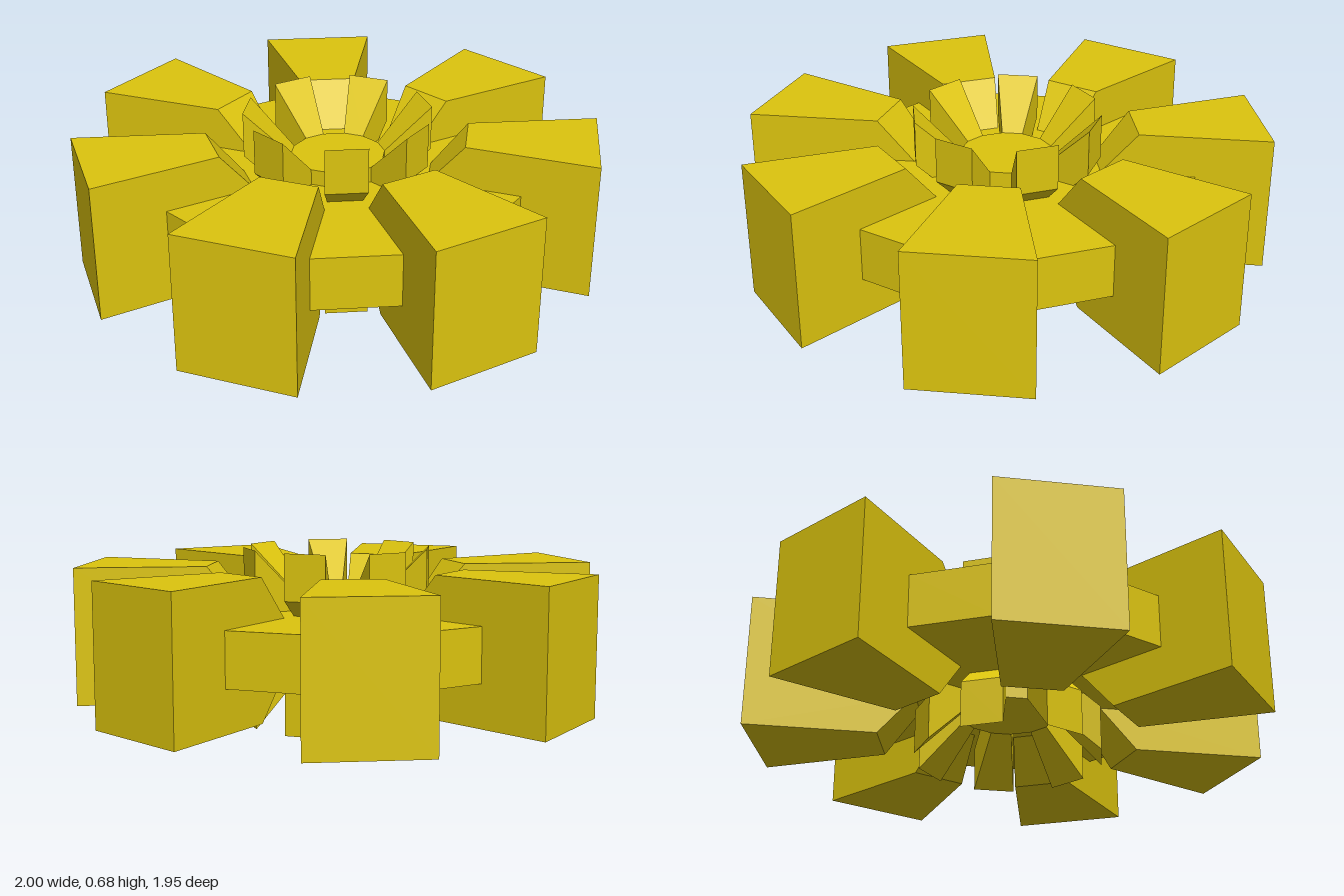
import * as THREE from 'three';

const MID = 0.3375;          // height of the mirror plane
const HALF = Math.PI / 14;   // half the angle of one of the 14 sectors

// Wedge swept over one sector from a convex counter-clockwise outline of [radius, height]
function sector(outline) {
  const at = ([r, y], s) => [r * Math.sin(s * HALF), y, -r * Math.cos(s * HALF)];
  const v = [];
  const n = outline.length;
  for (let i = 0; i < n; i++) {
    const p = outline[i], q = outline[(i + 1) % n];
    const p1 = at(p, -1), q1 = at(q, -1), q2 = at(q, 1), p2 = at(p, 1);
    v.push(...p1, ...q1, ...q2, ...p1, ...q2, ...p2);
  }
  for (let i = 1; i < n - 1; i++) {
    v.push(...at(outline[0], 1), ...at(outline[i], 1), ...at(outline[i + 1], 1));
    v.push(...at(outline[0], -1), ...at(outline[i + 1], -1), ...at(outline[i], -1));
  }
  const g = new THREE.BufferGeometry();
  g.setAttribute('position', new THREE.Float32BufferAttribute(v, 3));
  g.computeVertexNormals();
  return g;
}

export function createModel() {
  const group = new THREE.Group();
  const yellow = new THREE.MeshStandardMaterial({ color: 0xdcc40e });
  yellow.name = 'yellow';

  const add = (name, geometry, step = 0) => {
    const mesh = new THREE.Mesh(geometry, yellow);
    mesh.name = name;
    mesh.position.y = MID;
    mesh.rotation.y = -step * 2 * HALF;
    group.add(mesh);
  };

  // 14-sided core plate and the taller hub in its middle
  const prism = (r, h) => new THREE.CylinderGeometry(r, r, h, 14, 1, false, HALF).toNonIndexed();
  const flat = (g) => { g.computeVertexNormals(); return g; };
  add('corePlate', flat(prism(0.362, 0.204)));
  add('hub', flat(prism(0.18, 0.325)));

  // Big teeth taper in height toward the core, small teeth fill the gaps
  const bigTooth = sector([[0.36, -0.102], [0.5, -0.265], [1, -0.265], [1, 0.265], [0.5, 0.265], [0.36, 0.102]]);
  const smallTooth = sector([[0.36, -0.102], [0.718, -0.102], [0.718, 0.102], [0.36, 0.102]]);

  // Petals flare away from the hub above and below
  const upperPetal = sector([[0.18, -0.013], [0.358, 0.1625], [0.358, MID], [0.18, 0.1625]]);
  const lowerPetal = sector([[0.18, -0.1625], [0.358, -MID], [0.358, -0.1625], [0.18, 0.013]]);

  for (let i = 0; i < 7; i++) {
    add('bigTooth', bigTooth, 2 * i);
    add('smallTooth', smallTooth, 2 * i + 1);
    add('upperPetal', upperPetal, 2 * i + 1);
    add('lowerPetal', lowerPetal, 2 * i + 1);
  }
  return group;
}
